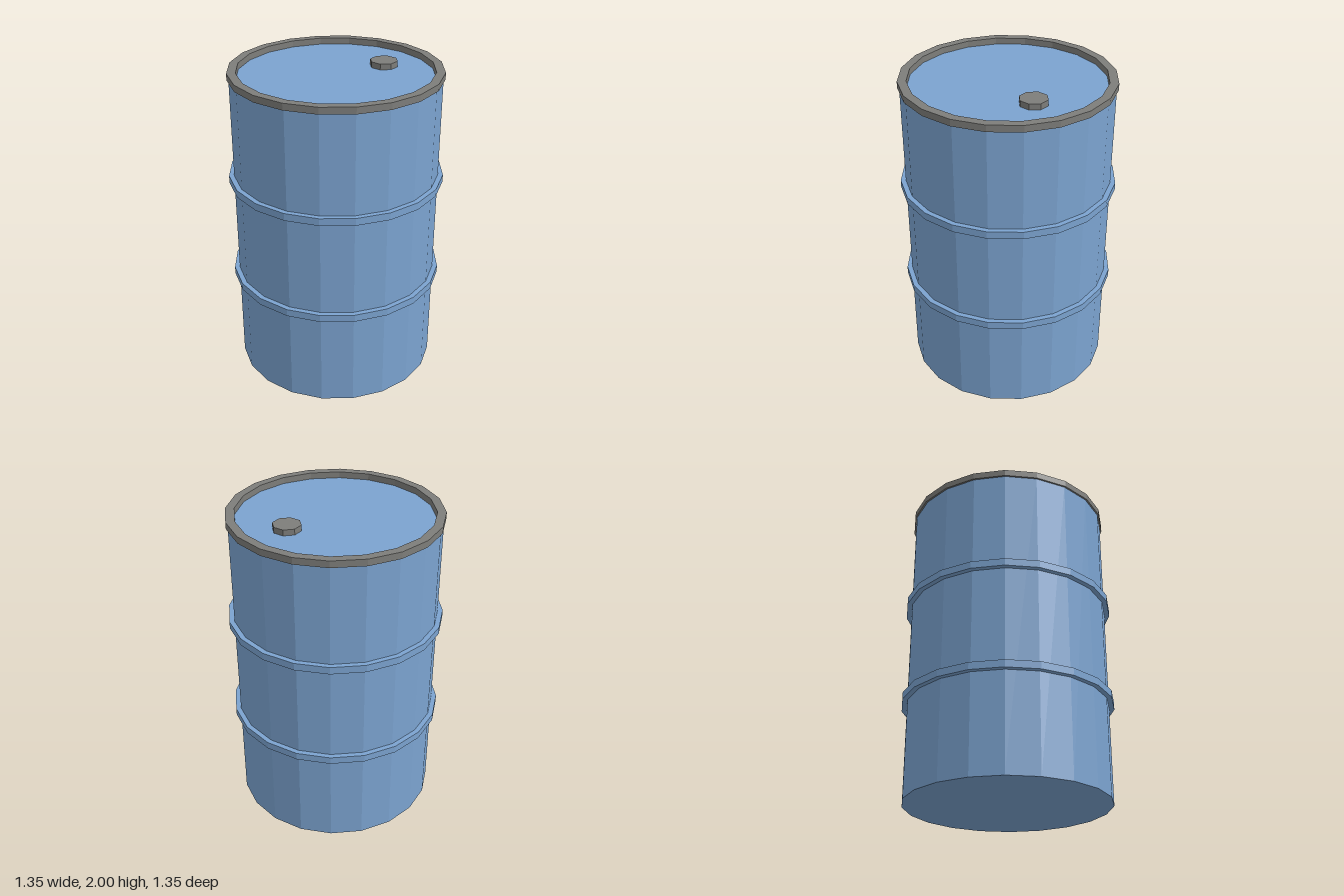
import * as THREE from 'three';

const SIDES = 20;

export function createModel() {
  const drum = new THREE.Group();
  drum.name = 'drum';

  const bluePaint = new THREE.MeshStandardMaterial({ color: 0x7ba3d0, flatShading: true });
  bluePaint.name = 'blue paint';
  const greyMetal = new THREE.MeshStandardMaterial({ color: 0x7d7d7a, flatShading: true });
  greyMetal.name = 'grey metal';

  const add = (name, geometry, material, x, y) => {
    const mesh = new THREE.Mesh(geometry, material);
    mesh.name = name;
    mesh.position.set(x, y, 0);
    drum.add(mesh);
  };

  // Faceted band with a rectangular section, centred on its own height
  const band = (inner, outer, height) => {
    const h = height / 2;
    const section = [[inner, -h], [outer, -h], [outer, h], [inner, h], [inner, -h]];
    return new THREE.LatheGeometry(section.map(([r, y]) => new THREE.Vector2(r, y)), SIDES);
  };

  // Barrel wall with flat lid and base
  add('body', new THREE.CylinderGeometry(0.643, 0.643, 1.96, SIDES), bluePaint, 0, 0.98);

  // Two rolling hoops
  add('lowerHoop', band(0.63, 0.675, 0.047), bluePaint, 0, 0.646);
  add('upperHoop', band(0.63, 0.675, 0.047), bluePaint, 0, 1.312);

  // Raised rim around the lid
  add('rim', band(0.6, 0.654, 0.042), greyMetal, 0, 1.979);

  // Octagonal bung on the lid, toward the left
  add('bung', new THREE.CylinderGeometry(0.087, 0.087, 0.045, 8), greyMetal, 0.333, 1.974);

  return drum;
}
